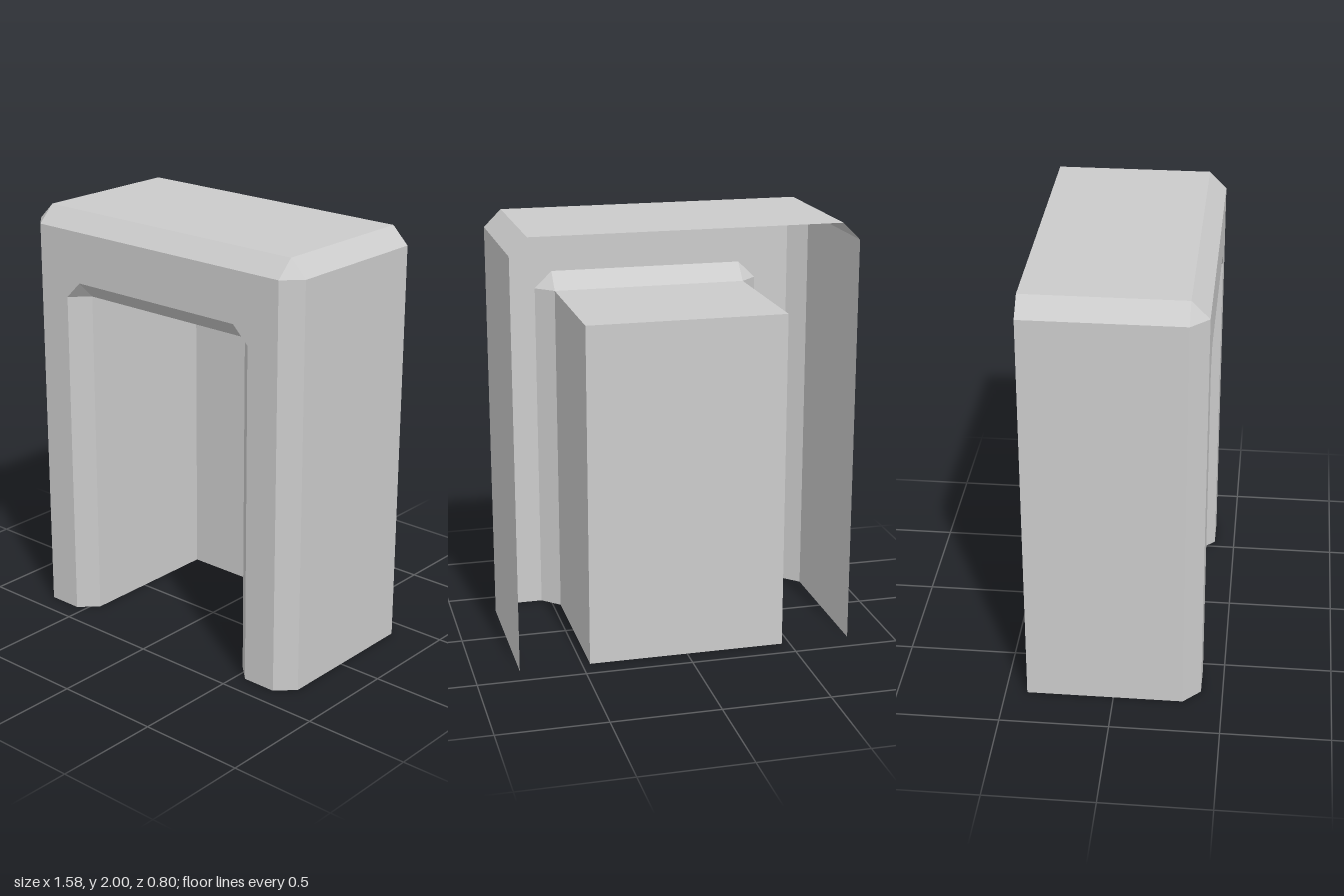
import * as THREE from 'three';

const BACK = -0.4, BEVEL = 0.32, FRONT = 0.4;

// Arch-shaped section at depth z; wide/narrow half widths and low/high heights give its corner cuts
function arch(z, wide, narrow, low, high) {
  return [
    [-wide, 0, z], [-wide, low, z], [-narrow, high, z],
    [narrow, high, z], [wide, low, z], [wide, 0, z],
  ];
}

// Skin between consecutive sections, dropping collapsed triangles
function loft(sections) {
  const pos = [];
  const same = (p, q) => p.every((v, k) => v === q[k]);
  const tri = (a, b, c) => {
    if (!same(a, b) && !same(b, c) && !same(a, c)) pos.push(...a, ...b, ...c);
  };
  for (let s = 0; s < sections.length - 1; s++) {
    const p = sections[s], q = sections[s + 1];
    for (let i = 0; i < p.length - 1; i++) {
      tri(p[i], q[i], p[i + 1]);
      tri(q[i], q[i + 1], p[i + 1]);
    }
  }
  const geometry = new THREE.BufferGeometry();
  geometry.setAttribute('position', new THREE.Float32BufferAttribute(pos, 3));
  geometry.computeVertexNormals();
  return geometry;
}

export function createModel() {
  const group = new THREE.Group();
  group.name = 'archedAlcove';
  const material = new THREE.MeshStandardMaterial({
    color: 0xcccccc, flatShading: true, side: THREE.DoubleSide,
  });
  const add = (name, geometry) => {
    const mesh = new THREE.Mesh(geometry, material);
    mesh.name = name;
    group.add(mesh);
    return mesh;
  };

  const outerBack = arch(BACK, 0.79, 0.71, 1.92, 2);
  const outerBevel = arch(BEVEL, 0.79, 0.71, 1.92, 2);
  const outerFront = arch(FRONT, 0.71, 0.71, 1.92, 1.92);
  const openingFront = arch(FRONT, 0.545, 0.463, 1.6, 1.68);
  const innerBevel = arch(BEVEL, 0.463, 0.463, 1.6, 1.6);
  const innerBack = arch(BACK, 0.463, 0.463, 1.6, 1.6);

  // Outer walls, top and chamfered front edge (open at back and bottom)
  add('outerShell', loft([outerBack, outerBevel, outerFront]));

  // Flat front frame around the opening
  add('frontFrame', loft([outerFront, openingFront]));

  // Chamfered opening running back into the alcove
  add('alcoveLining', loft([openingFront, innerBevel, innerBack]));

  // Rear wall closing the alcove
  add('alcoveBackWall', new THREE.PlaneGeometry(0.926, 1.6)).position.set(0, 0.8, BACK);

  return group;
}
